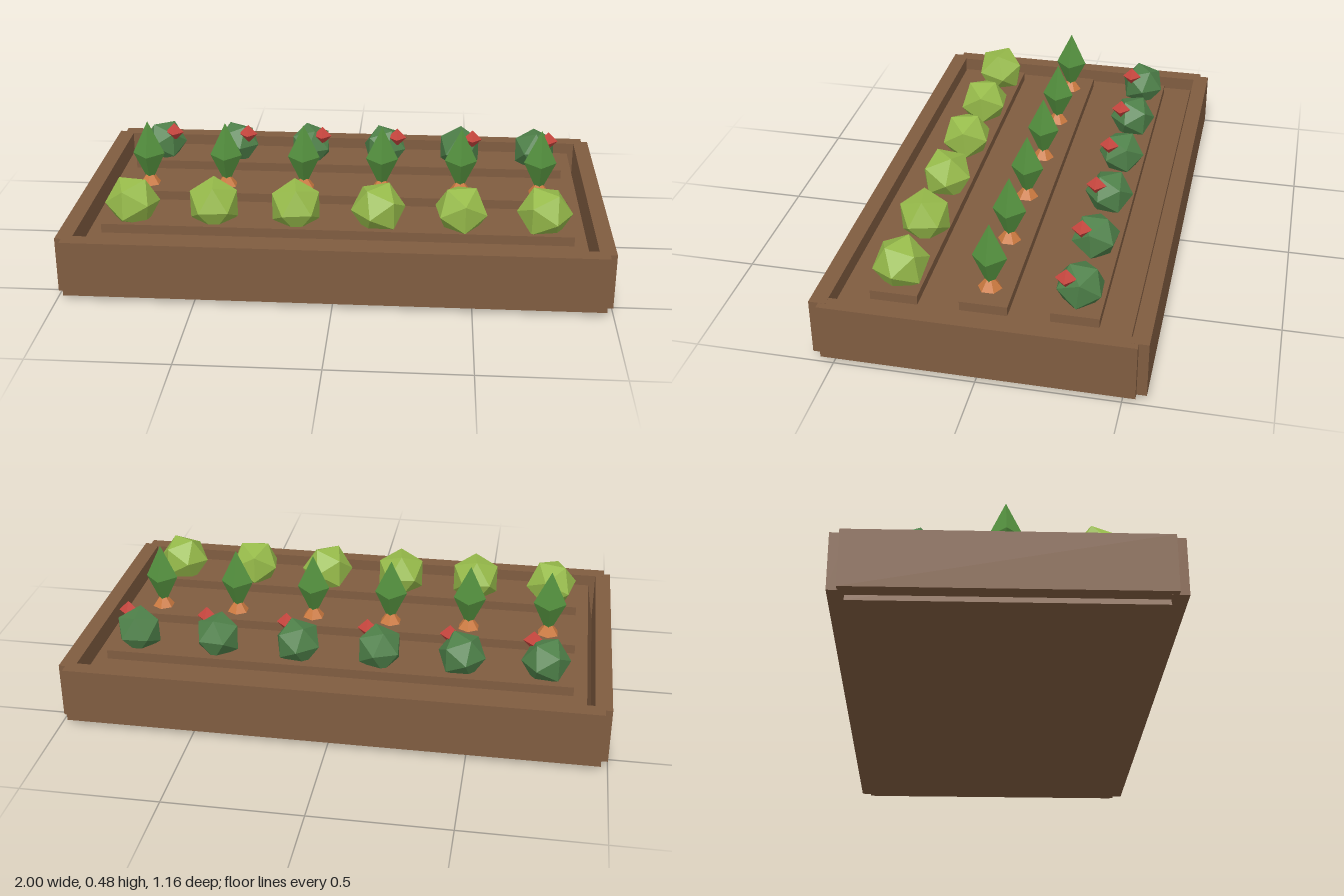
import * as THREE from 'three';

const mat = (name, color) => {
  const m = new THREE.MeshStandardMaterial({ color, flatShading: true });
  m.name = name;
  return m;
};

export function createModel() {
  const model = new THREE.Group();
  model.name = 'vegetableBed';

  const wood = mat('brown wood and soil', 0x805c40);
  const lettuceGreen = mat('light lettuce green', 0x96ba4a);
  const bushGreen = mat('dark bush green', 0x4e8049);
  const leafGreen = mat('carrot leaf green', 0x55923f);
  const orange = mat('carrot orange', 0xcc7a40);
  const red = mat('fruit red', 0xc8463e);

  const add = (name, geometry, material, x, y, z, parent = model) => {
    const mesh = new THREE.Mesh(geometry, material);
    mesh.name = name;
    mesh.position.set(x, y, z);
    parent.add(mesh);
    return mesh;
  };

  // small seeded generator for natural variation
  let seed = 7;
  const random = () => {
    seed = (seed * 16807) % 2147483647;
    return seed / 2147483647;
  };

  // soil block, slightly narrower at the top
  const soil = new THREE.BoxGeometry(1.89, 0.19, 1.05);
  const p = soil.attributes.position;
  for (let i = 0; i < p.count; i++) {
    if (p.getY(i) > 0) p.setXYZ(i, p.getX(i) * 0.967, p.getY(i), p.getZ(i) * 0.972);
  }
  soil.computeVertexNormals();
  add('soil', soil, wood, 0, 0.095, 0);

  // frame boards
  const longBoard = new THREE.BoxGeometry(1.95, 0.21, 0.06);
  const endBoard = new THREE.BoxGeometry(0.06, 0.209, 1.09);
  for (const s of [1, -1]) {
    add(s > 0 ? 'frontBoard' : 'backBoard', longBoard, wood, 0, 0.125, s * 0.55);
    add(s > 0 ? 'leftBoard' : 'rightBoard', endBoard, wood, s * 0.97, 0.125, 0);
  }

  // raised planting rows
  const rowZ = 0.315;
  const ridge = new THREE.BoxGeometry(1.73, 0.05, 0.168);
  for (const z of [-rowZ, 0, rowZ]) add('soilRidge', ridge, wood, 0, 0.2, z);

  // plants
  const lettuce = new THREE.IcosahedronGeometry(0.102, 0);
  const bush = new THREE.IcosahedronGeometry(0.09, 0);
  const fruit = new THREE.OctahedronGeometry(0.038, 0);
  const leaf = new THREE.OctahedronGeometry(0.062, 0).scale(1, 2.12, 1);
  const root = new THREE.CylinderGeometry(0.017, 0.043, 0.035, 6);

  for (let i = 0; i < 6; i++) {
    const x = -0.76 + i * 0.304;

    add('lettuce', lettuce, lettuceGreen, x, 0.283, rowZ)
      .rotation.set((random() - 0.5) * 0.3, random() * Math.PI, 0);

    const carrot = new THREE.Group();
    carrot.name = 'carrot';
    carrot.position.set(x, 0, 0);
    add('carrotRoot', root, orange, 0, 0.2425, 0, carrot);
    add('carrotLeaf', leaf, leafGreen, 0, 0.35, 0, carrot);
    model.add(carrot);

    const plant = new THREE.Group();
    plant.name = 'fruitPlant';
    plant.position.set(x, 0, -rowZ);
    add('bush', bush, bushGreen, 0, 0.28, 0, plant)
      .rotation.set((random() - 0.5) * 0.3, random() * Math.PI, 0);
    add('fruit', fruit, red, 0.05, 0.335, 0.042, plant);
    model.add(plant);
  }

  return model;
}
